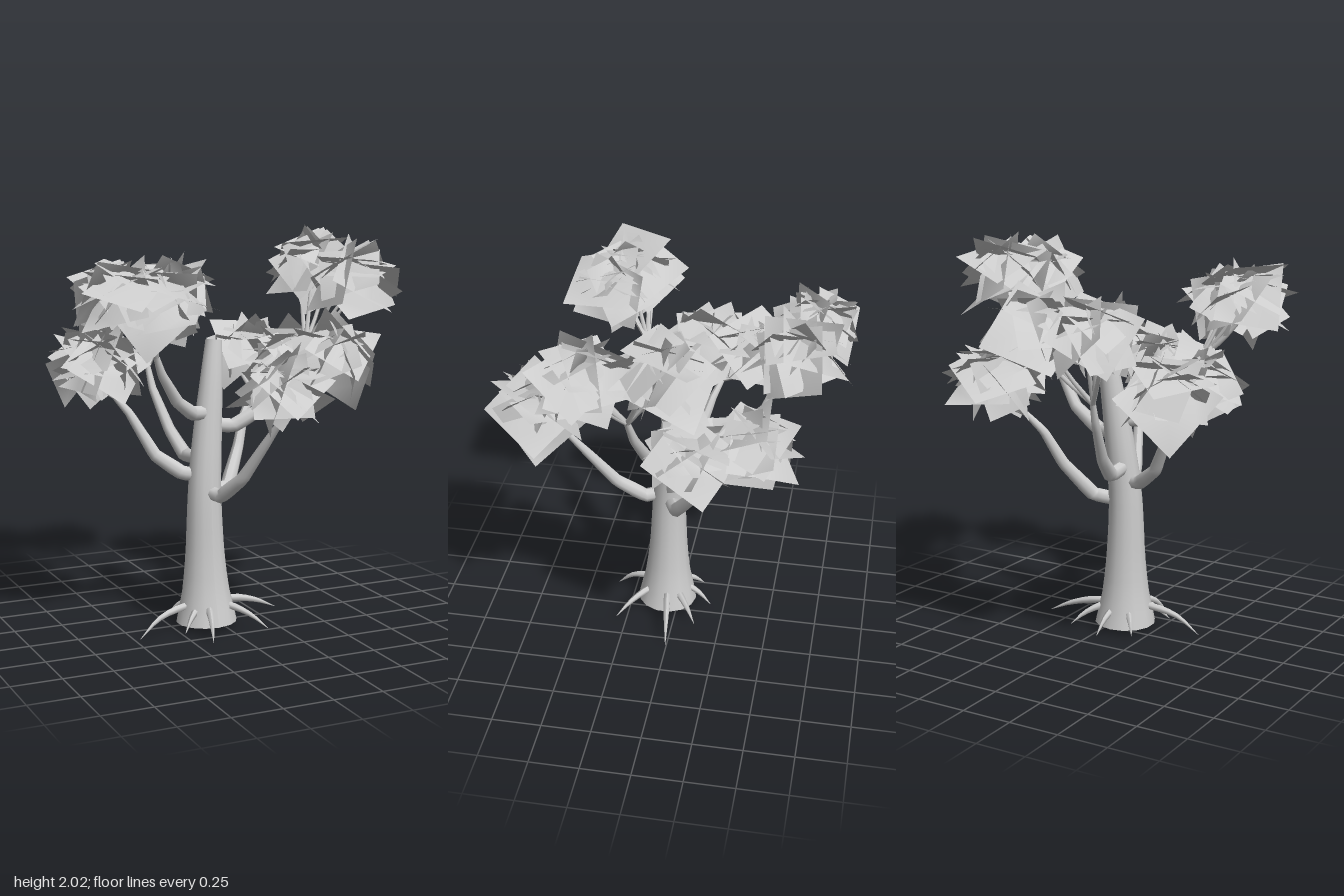
import * as THREE from 'three';
import { mergeGeometries } from 'three/addons/utils/BufferGeometryUtils.js';

const clay = new THREE.MeshStandardMaterial({ color: 0xcccccc, side: THREE.DoubleSide });
clay.name = 'pale grey';

let seed = 29;
const rand = () => (seed = (seed * 16807) % 2147483647) / 2147483647;
const spread = (r) => (rand() * 2 - 1) * r;
const vec = (p) => new THREE.Vector3(...p);

// Tube along a path whose radius is interpolated between the given values; low tension makes sharp elbows
function taperedTube(points, radii, sides, segments, tension = 0.5) {
  const curve = new THREE.CatmullRomCurve3(points.map(vec), false, 'catmullrom', tension);
  const geo = new THREE.TubeGeometry(curve, segments, 1, sides);
  const pos = geo.attributes.position;
  const v = new THREE.Vector3();
  for (let i = 0; i < pos.count; i++) {
    const t = Math.floor(i / (sides + 1)) / segments;
    const k = Math.min(t * (radii.length - 1), radii.length - 1.0001);
    const a = Math.floor(k);
    const r = THREE.MathUtils.lerp(radii[a], radii[a + 1], k - a);
    const c = curve.getPointAt(t);
    v.fromBufferAttribute(pos, i).sub(c).multiplyScalar(r).add(c);
    pos.setXYZ(i, v.x, v.y, v.z);
  }
  geo.computeVertexNormals();
  return geo;
}

// One large square leaf sheet, gently folded across its diagonal, facing up and out of its clump
function leafSheet(centre, index, count) {
  const size = 0.29 + rand() * 0.07;
  const geo = new THREE.PlaneGeometry(size, size * (0.85 + rand() * 0.2), 2, 2);
  const pos = geo.attributes.position;
  const fold = 0.1 + rand() * 0.25;
  for (let i = 0; i < pos.count; i++) {
    pos.setZ(i, size * 0.08 - Math.abs(pos.getX(i) + pos.getY(i)) * fold);
  }
  geo.computeVertexNormals();
  // directions spiral evenly over the clump, from the crown down past the sides
  const up = 1 - 1.4 * (index + 0.5) / count;
  const around = index * 2.4 + centre[0] * 9;
  const flat = Math.sqrt(1 - up * up);
  const out = new THREE.Vector3(flat * Math.cos(around), up, flat * Math.sin(around));
  const normal = out.clone().add(vec([spread(0.4), 0.7 + spread(0.4), spread(0.4)])).normalize();
  geo.rotateZ(rand() * Math.PI * 2);
  geo.applyQuaternion(new THREE.Quaternion().setFromUnitVectors(new THREE.Vector3(0, 0, 1), normal));
  const reach = 0.05 + rand() * 0.05;
  geo.translate(centre[0] + out.x * reach, centre[1] + out.y * reach, centre[2] + out.z * reach);
  return geo;
}

// Each limb: path from the trunk, and the leaf clumps it carries
const limbs = [
  { name: 'frontLimb',
    path: [[-0.08, 0.71, 0.09], [-0.05, 0.7, 0.17], [0, 0.81, 0.31], [0.07, 1.03, 0.46], [0.1, 1.13, 0.53]],
    clumps: [[0.05, 1.31, 0.66], [0.33, 1.43, 0.61]] },
  { name: 'lowerLeftLimb',
    path: [[-0.03, 0.69, 0.03], [0.07, 0.71, -0.01], [0.18, 0.88, -0.12], [0.25, 1.05, -0.19], [0.33, 1.14, -0.23]],
    clumps: [[0.38, 1.35, -0.42], [0.47, 1.34, -0.15]] },
  { name: 'upperLeftLimb',
    path: [[-0.03, 1.04, 0.03], [0.07, 1.03, 0.06], [0.24, 1.13, 0.1], [0.36, 1.3, 0.14], [0.42, 1.43, 0.16]],
    clumps: [[0.56, 1.81, -0.04], [0.6, 1.78, 0.33]] },
  { name: 'lowerRightLimb',
    path: [[-0.1, 0.79, 0.04], [-0.19, 0.8, 0.01], [-0.31, 0.89, -0.05], [-0.42, 1.1, -0.12], [-0.48, 1.18, -0.16]],
    clumps: [[-0.53, 1.36, -0.33], [-0.57, 1.36, -0.07]] },
  { name: 'upperRightLimb',
    path: [[-0.05, 1.1, 0.03], [-0.16, 1.11, 0.07], [-0.26, 1.18, 0.12], [-0.37, 1.33, 0.19], [-0.41, 1.42, 0.22]],
    clumps: [[-0.61, 1.72, 0.32], [-0.46, 1.69, 0.4]] },
  { name: 'backLimb',
    path: [[-0.09, 0.87, 0.03], [-0.11, 0.86, -0.14], [-0.14, 0.97, -0.27], [-0.18, 1.17, -0.4], [-0.19, 1.28, -0.44]],
    clumps: [[-0.33, 1.64, -0.66], [0.01, 1.65, -0.6]] },
];

export function createModel() {
  const tree = new THREE.Group();
  tree.name = 'tree';
  const add = (name, geo, parent = tree) => {
    const mesh = new THREE.Mesh(geo, clay);
    mesh.name = name;
    parent.add(mesh);
  };

  // Hollow trunk with a flared foot and a slight lean
  add('trunk', taperedTube(
    [[-0.08, 0.035, 0.06], [-0.085, 0.35, 0.055], [-0.085, 0.7, 0.05], [-0.06, 1, 0.03], [-0.03, 1.25, 0.01], [-0.005, 1.46, -0.015]],
    [0.156, 0.118, 0.1, 0.091, 0.084, 0.078, 0.068, 0.057, 0.042], 14, 18));

  // Thin roots arching out to their tips on the ground
  const roots = new THREE.Group();
  roots.name = 'roots';
  const tips = [[0.34, 0.035, 0], [0.15, 0.03, 0.3], [-0.17, 0.01, 0.35], [-0.26, 0.03, 0.21],
    [-0.47, 0.005, 0.13], [-0.22, 0.03, -0.12], [-0.05, 0.02, -0.18], [0.14, 0.03, -0.12]];
  for (const tip of tips) {
    const at = (f, y) => [-0.08 + (tip[0] + 0.08) * f, y, 0.06 + (tip[2] - 0.06) * f];
    add('root', taperedTube([at(0.1, 0.13), at(0.4, 0.125), at(0.72, 0.09), tip],
      [0.015, 0.02, 0.013, 0.001], 6, 8), roots);
  }
  tree.add(roots);

  for (const { name, path, clumps } of limbs) {
    const limb = new THREE.Group();
    limb.name = name;
    add('branch', taperedTube(path, [0.036, 0.037, 0.03, 0.024, 0.015], 8, 24, 0.05), limb);

    // Twigs fork from the branch end into each clump
    const end = path[path.length - 1];
    for (const c of clumps) {
      for (let i = 0; i < 3; i++) {
        const tip = [c[0] + spread(0.09), c[1] + spread(0.04), c[2] + spread(0.09)];
        const mid = [0, 1, 2].map((k) => end[k] * 0.55 + tip[k] * 0.45 - (k === 1 ? 0.02 : 0));
        add('twig', taperedTube([end, mid, tip], [0.013, 0.01, 0.004], 5, 6), limb);
      }
      // Overlapping folded sheets make up the foliage
      const sheets = [];
      for (let i = 0; i < 10; i++) sheets.push(leafSheet(c, i, 10));
      add('leafClump', mergeGeometries(sheets), limb);
    }
    tree.add(limb);
  }
  return tree;
}
